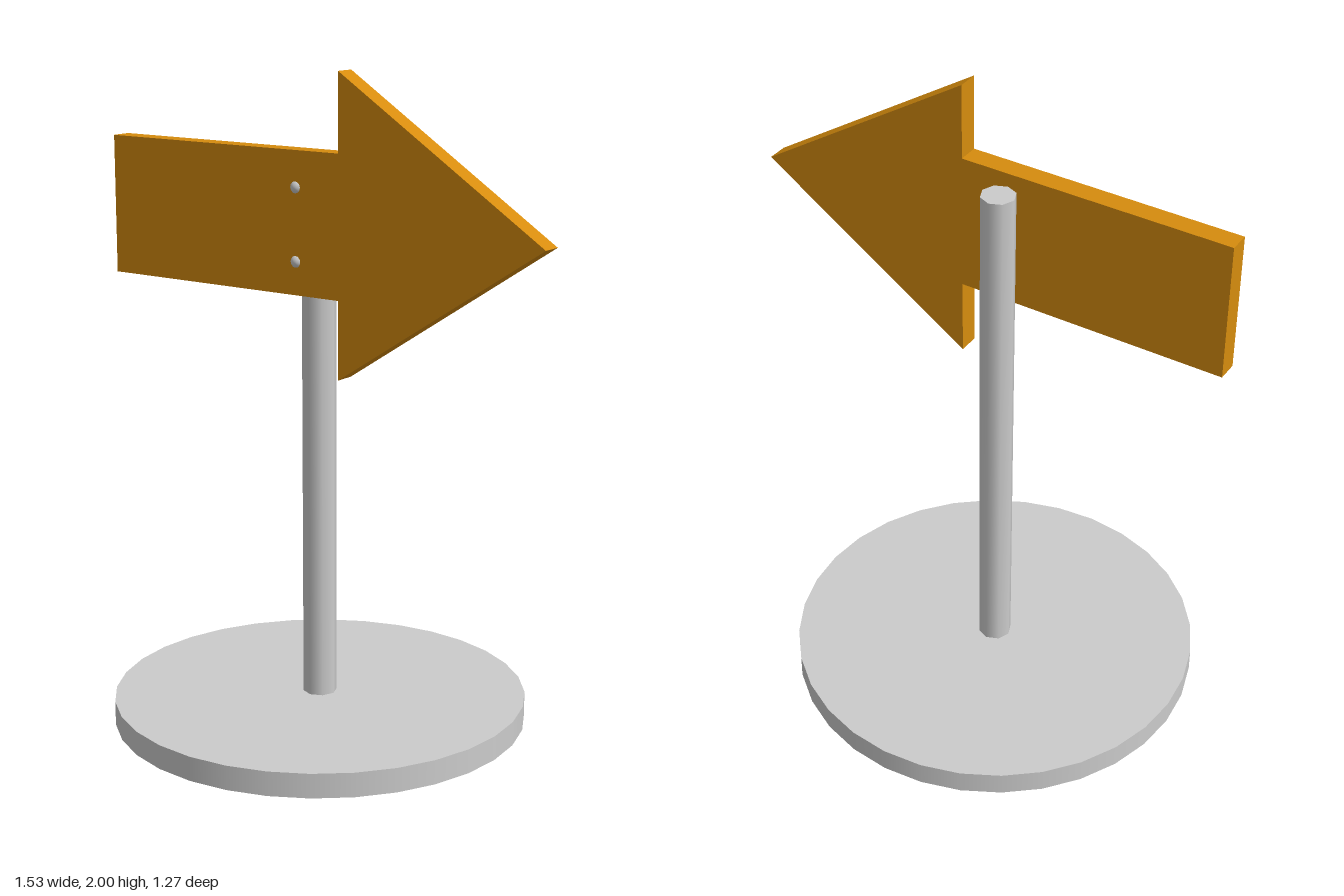
import * as THREE from 'three';

export function createModel() {
  const model = new THREE.Group();
  const grey = new THREE.MeshStandardMaterial({ color: 0xcccccc });
  const orange = new THREE.MeshStandardMaterial({ color: 0xd68c0e });
  const poleX = -0.073;

  const add = (name, geometry, material, x, y, z) => {
    const mesh = new THREE.Mesh(geometry, material);
    mesh.name = name;
    mesh.position.set(x, y, z);
    model.add(mesh);
    return mesh;
  };

  // Round foot and upright pole
  const baseHeight = 0.075, poleTop = 1.727;
  add('base', new THREE.CylinderGeometry(0.637, 0.637, baseHeight, 32), grey, poleX, baseHeight / 2, 0);
  add('pole', new THREE.CylinderGeometry(0.052, 0.052, poleTop - baseHeight, 8), grey,
    poleX, (poleTop + baseHeight) / 2, 0);

  // Arrow board, fixed to the front of the pole
  const outline = [
    [-0.767, 1.343], [0.08, 1.343], [0.08, 1.107], [0.763, 1.555],
    [0.08, 2], [0.08, 1.768], [-0.767, 1.768],
  ].map(([x, y]) => new THREE.Vector2(x, y));
  const board = new THREE.ExtrudeGeometry(new THREE.Shape(outline), { depth: 0.064, bevelEnabled: false });
  add('arrowBoard', board, orange, 0, 0, 0.053);

  // Two bolt heads
  for (const [name, y] of [['upperBolt', 1.66], ['lowerBolt', 1.442]]) {
    add(name, new THREE.SphereGeometry(0.021, 12, 8), grey, poleX, y, 0.106);
  }
  return model;
}
